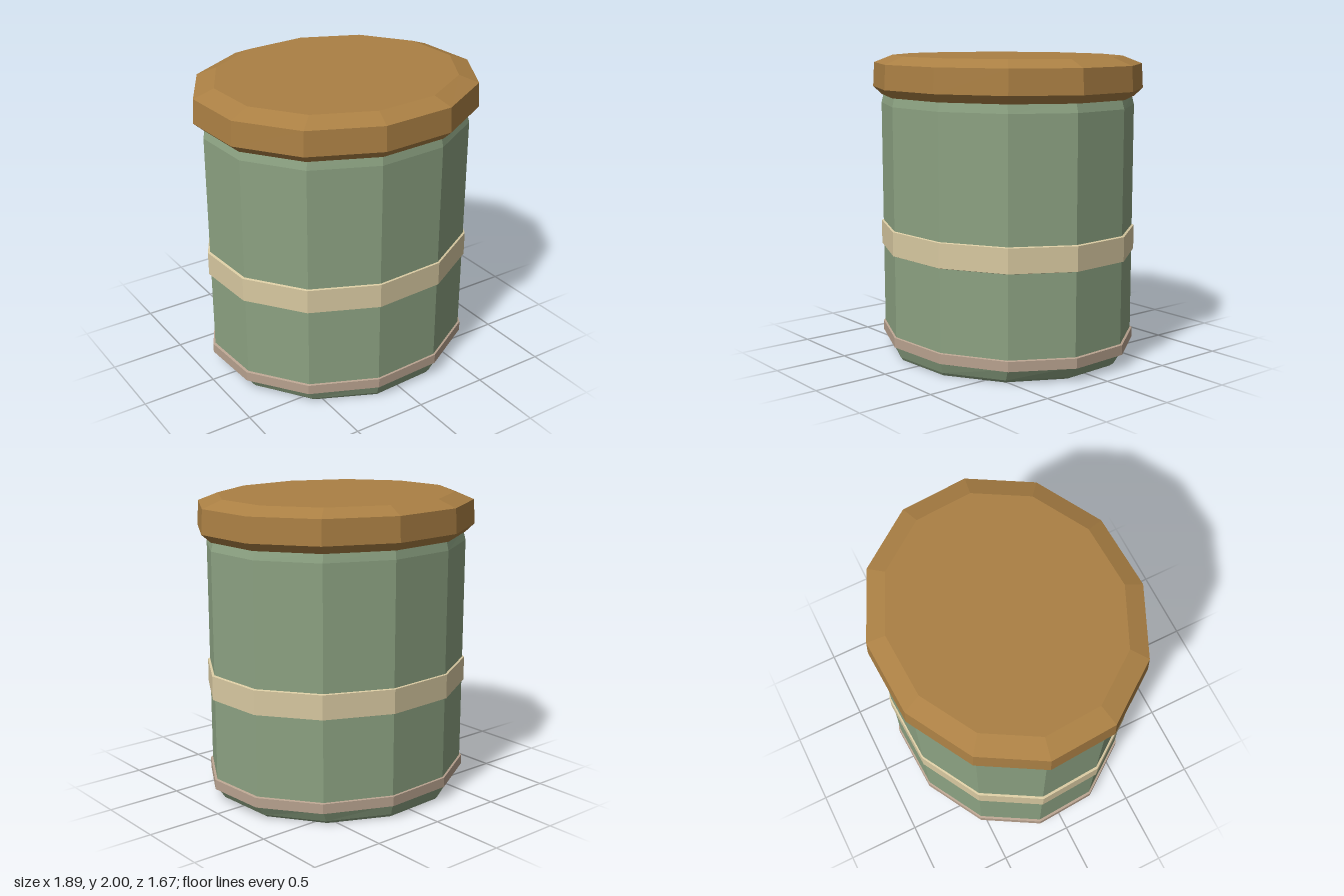
import * as THREE from 'three';

const SIDES = 12;
const TURN = THREE.MathUtils.degToRad(12);

// Faceted oval loft: levels are [y, radiusX, radiusZ], listed bottom to top
function loft(levels, capped) {
  const pos = [];
  const point = ([y, a, b], j) => {
    const t = TURN + (j / SIDES) * Math.PI * 2;
    return [a * Math.cos(t), y, b * Math.sin(t)];
  };
  const tri = (...pts) => pts.forEach((p) => pos.push(...p));
  const low = levels[0];
  const high = levels[levels.length - 1];
  for (let j = 0; j < SIDES; j++) {
    for (let i = 0; i < levels.length - 1; i++) {
      const p = point(levels[i], j), q = point(levels[i], j + 1);
      const r = point(levels[i + 1], j), s = point(levels[i + 1], j + 1);
      tri(p, r, q);
      tri(q, r, s);
    }
    if (capped) {
      tri([0, low[0], 0], point(low, j), point(low, j + 1));
      tri([0, high[0], 0], point(high, j + 1), point(high, j));
    }
  }
  const geo = new THREE.BufferGeometry();
  geo.setAttribute('position', new THREE.Float32BufferAttribute(pos, 3));
  geo.computeVertexNormals(); // unshared corners give flat facets
  return geo;
}

function material(name, color) {
  const m = new THREE.MeshStandardMaterial({ color });
  m.name = name;
  return m;
}

export function createModel() {
  const group = new THREE.Group();
  group.name = 'canister';
  const add = (name, geo, mat) => {
    const mesh = new THREE.Mesh(geo, mat);
    mesh.name = name;
    group.add(mesh);
  };

  const green = material('sage green', 0x8ca282);
  const wood = material('warm wood', 0xab8044);
  const cream = material('cream', 0xd8c9a1);
  const clay = material('dusty clay', 0xb8a28f);

  // Jar body with chamfered foot and shoulder
  add('body', loft([
    [0, 0.82, 0.762],
    [0.02, 0.85, 0.775],
    [0.1, 0.905, 0.803],
    [1.68, 0.905, 0.803],
    [1.745, 0.885, 0.79],
  ], true), green);

  // Raised bands around the body
  const band = (y0, y1) => loft([
    [y0, 0.9, 0.798],
    [y0 + 0.006, 0.921, 0.814],
    [y1 - 0.006, 0.921, 0.814],
    [y1, 0.9, 0.798],
  ], false);
  add('lowerBand', band(0.086, 0.163), clay);
  add('upperBand', band(0.703, 0.875), cream);

  // Overhanging lid, bevelled above and below
  add('lid', loft([
    [1.737, 0.905, 0.803],
    [1.79, 0.966, 0.855],
    [1.95, 0.957, 0.846],
    [2, 0.82, 0.727],
  ], true), wood);

  return group;
}
